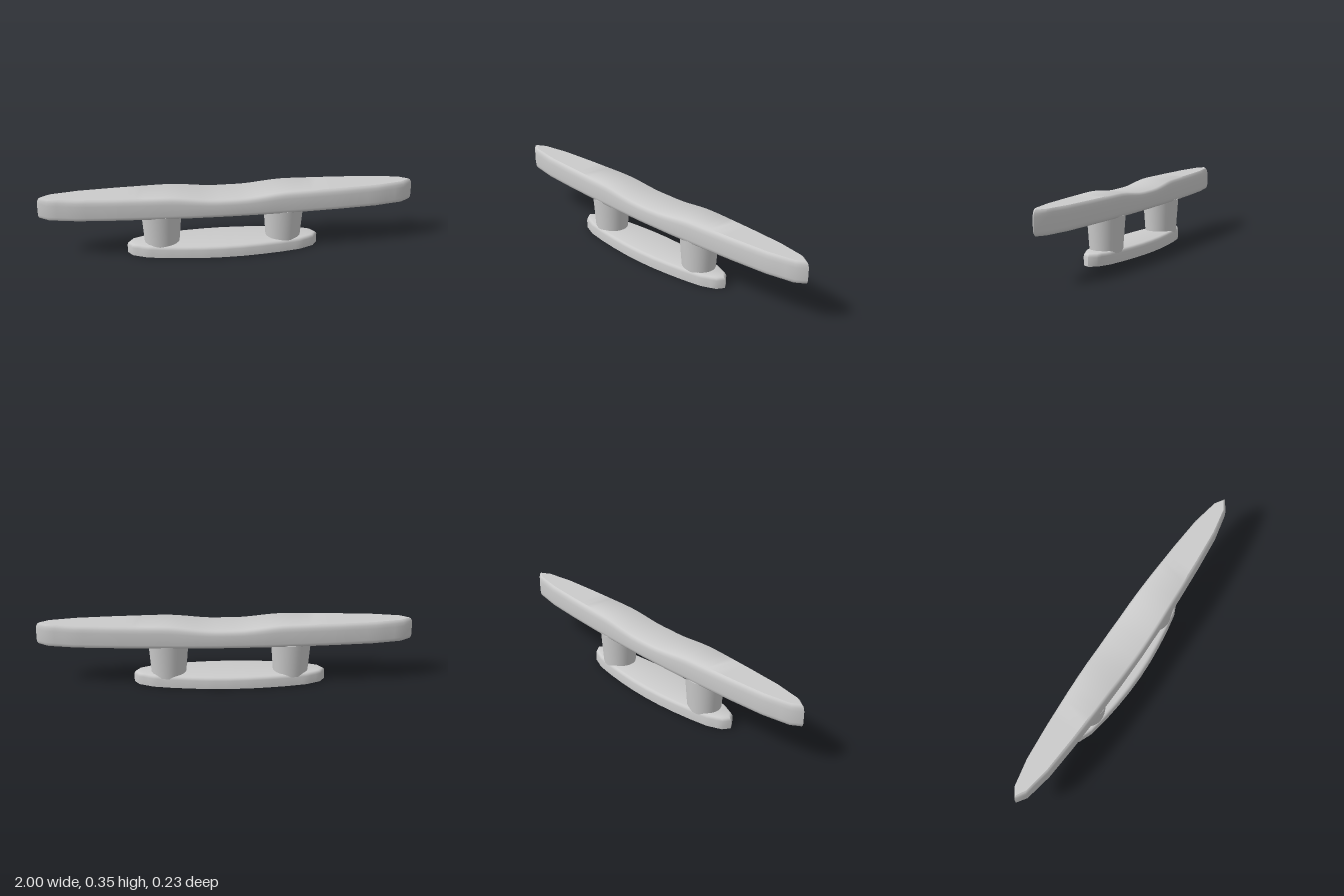
import * as THREE from 'three';
import { toCreasedNormals } from 'three/addons/utils/BufferGeometryUtils.js';

// Half width of the pointed boat outline, as [distance from centre, width], both 0..1
const OUTLINE = [[0, 1], [0.2, 0.975], [0.4, 0.9], [0.6, 0.79], [0.8, 0.63], [0.95, 0.34], [1, 0]];
const STEPS = 40;

function outlineWidth(u) {
  const a = Math.min(Math.abs(u), 1);
  for (let i = 1; i < OUTLINE.length; i++) {
    const [u0, w0] = OUTLINE[i - 1], [u1, w1] = OUTLINE[i];
    if (a <= u1 + 1e-6) return w0 + (w1 - w0) * (a - u0) / (u1 - u0);
  }
  return 0;
}

// Stacks boat-shaped loops; each layer is [y, inset]. dip(x, y) lowers points.
function boatSolid(halfLength, halfWidth, layers, closedBottom, dip = () => 0) {
  const positions = [], index = [], ring = 2 * (STEPS + 1);
  for (const [y, inset] of layers) {
    for (let k = 0; k < ring; k++) {
      const front = k <= STEPS;
      const i = front ? k : ring - 1 - k;
      const u = -1 + 2 * i / STEPS;
      const x = u * (halfLength - inset);
      const z = outlineWidth(u) * (halfWidth - inset) * (front ? 1 : -1);
      positions.push(x, y - dip(x, y), z);
    }
  }
  const quad = (a, b, c, d) => index.push(a, b, c, a, c, d);
  for (let l = 0; l < layers.length - 1; l++) {
    for (let k = 0; k < ring; k++) {
      if (k === STEPS || k === ring - 1) continue; // both sides meet at the tips
      const a = l * ring + k;
      quad(a, a + 1, a + 1 + ring, a + ring);
    }
  }
  const top = (layers.length - 1) * ring;
  for (let i = 0; i < STEPS; i++) {
    const back = ring - 1 - i;
    quad(top + i, top + i + 1, top + back - 1, top + back);
    if (closedBottom) quad(i, back, back - 1, i + 1);
  }
  const geometry = new THREE.BufferGeometry();
  geometry.setAttribute('position', new THREE.Float32BufferAttribute(positions, 3));
  geometry.setIndex(index);
  return toCreasedNormals(geometry, 0.65);
}

export function createModel() {
  const group = new THREE.Group();
  const grey = new THREE.MeshStandardMaterial({ color: 0xcccccc });
  const shell = new THREE.MeshStandardMaterial({ color: 0xcccccc, side: THREE.DoubleSide });
  const add = (name, geometry, material, x = 0, y = 0, z = 0) => {
    const mesh = new THREE.Mesh(geometry, material);
    mesh.name = name;
    mesh.position.set(x, y, z);
    group.add(mesh);
    return mesh;
  };

  // Base plate, a thin shell open underneath
  add('basePlate', boatSolid(0.515, 0.115,
    [[0, 0], [0.047, 0], [0.056, 0.003], [0.062, 0.009], [0.065, 0.018]], false), shell, -0.025);

  // Two tapered posts
  for (const [name, x] of [['rightPost', -0.353], ['leftPost', 0.303]]) {
    const post = add(name, new THREE.CylinderGeometry(0.108, 0.093, 0.19, 40), grey, x, 0.145, -0.004);
    post.scale.z = 0.9;
  }

  // Horn bar with rounded edges and a shallow saddle in the middle of its top
  const saddle = (x, y) => {
    const t = Math.min(1, Math.max(0, (0.33 - Math.abs(x)) / 0.28));
    const lift = Math.max(0, (y - 0.25) / 0.105);
    return 0.023 * t * t * (3 - 2 * t) * lift;
  };
  add('hornBar', boatSolid(1, 0.106,
    [[0.232, 0.016], [0.235, 0.008], [0.243, 0.002], [0.255, 0], [0.32, 0],
      [0.338, 0.003], [0.349, 0.009], [0.355, 0.018]], true, saddle), grey, 0, 0, -0.003);

  return group;
}
